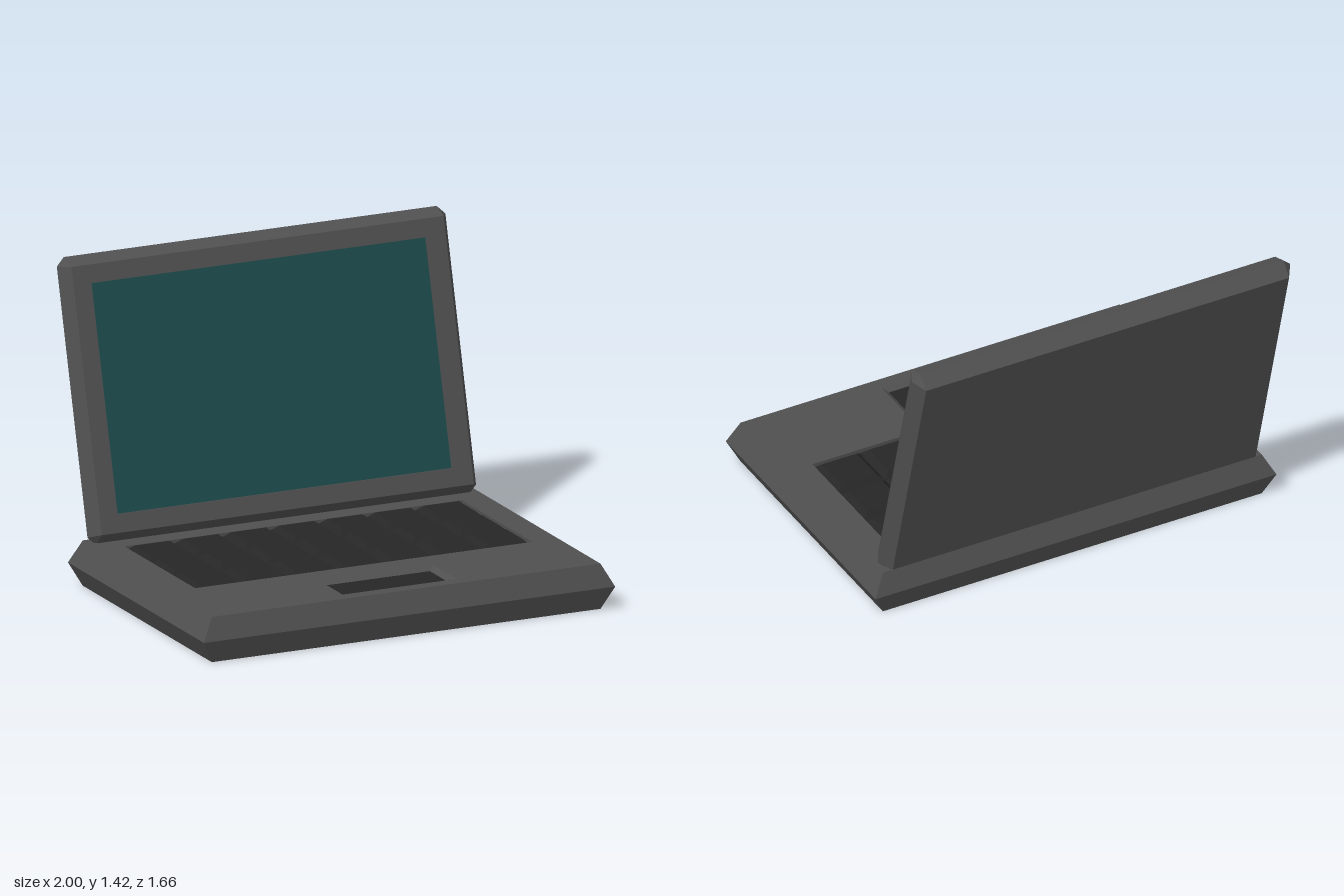
import * as THREE from 'three';

const paint = (color) => new THREE.MeshStandardMaterial({ color, flatShading: true });

// Rectangle with optional cut corners, counter-clockwise in the xy plane at height z
function ring(x0, x1, y0, y1, z, c = 0) {
  return [
    [x0 + c, y0], [x1 - c, y0], [x1, y0 + c], [x1, y1 - c],
    [x1 - c, y1], [x0 + c, y1], [x0, y1 - c], [x0, y0 + c],
  ].map(([x, y]) => new THREE.Vector3(x, y, z));
}
const centred = (hx, hy, z, c) => ring(-hx, hx, -hy, hy, z, c);

// Skin between successive rings, with optional caps
function loft(rings, capStart, capEnd) {
  const pos = [];
  const tri = (a, b, c) => {
    if (a.equals(b) || b.equals(c) || c.equals(a)) return;
    for (const p of [a, b, c]) pos.push(p.x, p.y, p.z);
  };
  for (let k = 0; k + 1 < rings.length; k++) {
    const a = rings[k], b = rings[k + 1];
    for (let i = 0; i < 8; i++) {
      const j = (i + 1) % 8;
      tri(a[i], a[j], b[j]);
      tri(a[i], b[j], b[i]);
    }
  }
  const first = rings[0], last = rings[rings.length - 1];
  for (let i = 1; i < 7; i++) {
    if (capStart) tri(first[0], first[i + 1], first[i]);
    if (capEnd) tri(last[0], last[i], last[i + 1]);
  }
  const g = new THREE.BufferGeometry();
  g.setAttribute('position', new THREE.Float32BufferAttribute(pos, 3));
  g.computeVertexNormals();
  return g;
}

// Flat face bounded by one ring, pierced by others
function face(outer, holes) {
  const shape = new THREE.Shape(outer.map((p) => new THREE.Vector2(p.x, p.y)));
  for (const h of holes) {
    shape.holes.push(new THREE.Path(h.map((p) => new THREE.Vector2(p.x, p.y)).reverse()));
  }
  return new THREE.ShapeGeometry(shape).translate(0, 0, outer[0].z);
}

function add(parent, name, geometry, material) {
  const mesh = new THREE.Mesh(geometry, material);
  mesh.name = name;
  parent.add(mesh);
  return mesh;
}

export function createModel() {
  const model = new THREE.Group();
  model.name = 'laptop';
  const shell = paint(0x505050);
  const dark = paint(0x262626);
  const glass = paint(0x1d4a4b);

  // Base, drawn flat with local y pointing to the back and local z up
  const base = new THREE.Group();
  base.name = 'base';
  base.rotation.x = -Math.PI / 2;
  model.add(base);

  const top = 0.207;
  const deck = ring(-0.945, 0.945, -0.795, 0.51, top);
  const tray = ring(-0.82, 0.82, -0.365, 0.345, top);
  const trayFloor = ring(-0.82, 0.82, -0.365, 0.345, top - 0.02);
  const padRim = ring(-0.28, 0.275, -0.735, -0.49, top);
  const padFloor = ring(-0.26, 0.25, -0.712, -0.515, top - 0.02);

  add(base, 'baseSides', loft([
    ring(-0.945, 0.945, -0.795, 0.51, 0),
    ring(-1, 1, -0.83, 0.545, 0.104),
    deck,
  ], true, false), shell);
  add(base, 'deck', face(deck, [tray, padRim]), shell);
  add(base, 'keyboardTrayWalls', loft([tray, trayFloor]), shell);
  add(base, 'keyboardTrayFloor', face(trayFloor, []), dark);
  add(base, 'trackpadRim', loft([padRim, padFloor]), shell);
  add(base, 'trackpad', face(padFloor, []), dark);

  // Keys: bevelled blocks filling the tray
  const cols = 7, rows = 3;
  const kw = 1.64 / cols, kd = 0.71 / rows;
  const keyGeometry = loft([
    centred(kw / 2, kd / 2, 0),
    centred(kw / 2 - 0.032, kd / 2 - 0.032, 0.029),
  ], false, true);
  const keys = new THREE.Group();
  keys.name = 'keys';
  base.add(keys);
  for (let r = 0; r < rows; r++) {
    for (let c = 0; c < cols; c++) {
      add(keys, 'key', keyGeometry, dark)
        .position.set(-0.82 + (c + 0.5) * kw, -0.365 + (r + 0.5) * kd, top - 0.02);
    }
  }

  // Lid, leaning back, with local z towards the viewer
  const lid = new THREE.Group();
  lid.name = 'lid';
  lid.position.set(0, 0.81, -0.617);
  lid.rotation.x = -THREE.MathUtils.degToRad(15);
  model.add(lid);

  const half = 0.0665;
  const bezel = centred(0.905, 0.5925, half);
  const opening = centred(0.818, 0.51, half);
  const screen = centred(0.818, 0.51, half - 0.028);
  add(lid, 'lidShell', loft([
    centred(0.905, 0.5925, -half),
    centred(0.945, 0.6365, 0, 0.038),
    bezel,
  ], true, false), shell);
  add(lid, 'bezel', face(bezel, [opening]), shell);
  add(lid, 'screenRecess', loft([opening, screen]), shell);
  add(lid, 'screen', face(screen, []), glass);

  return model;
}
